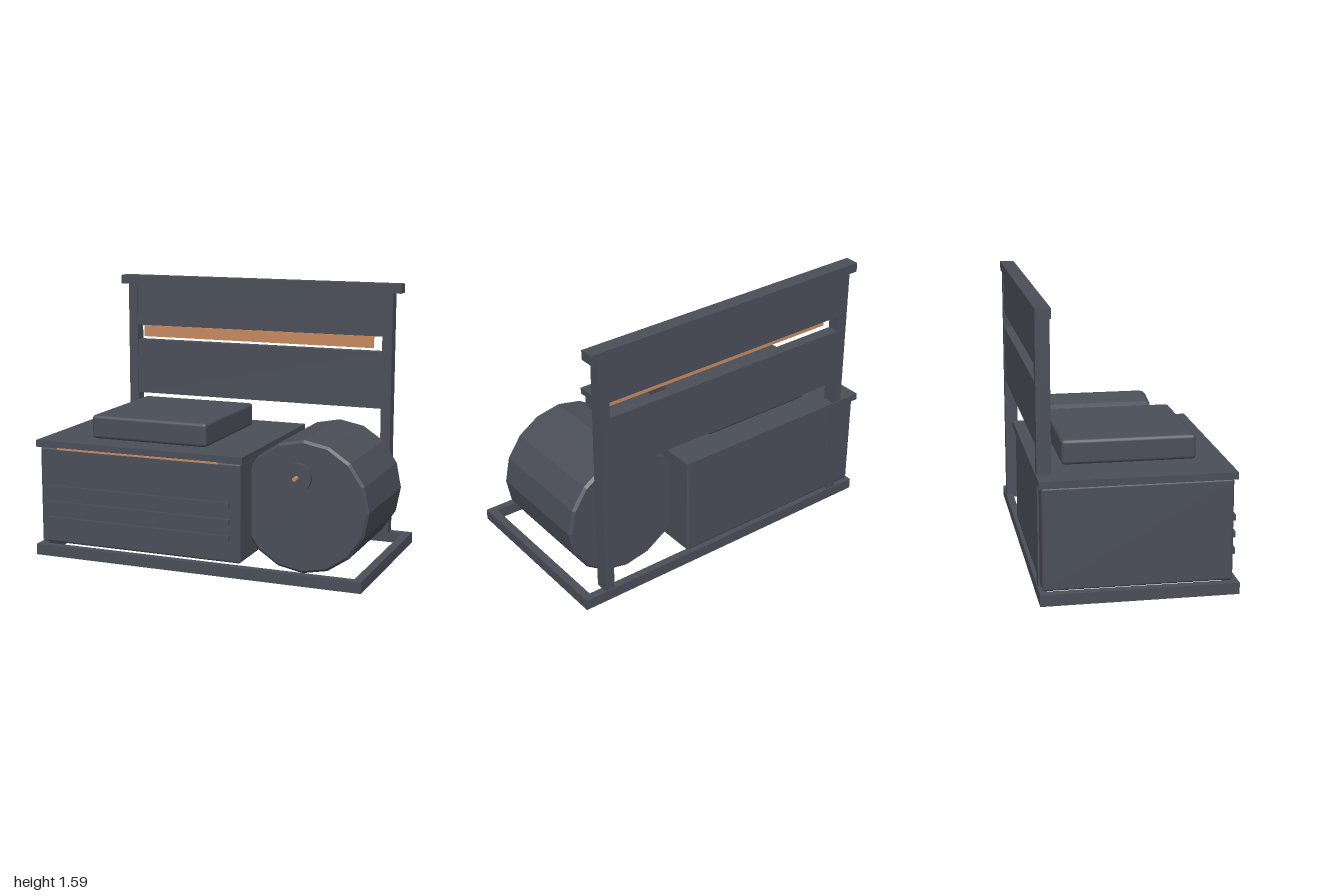
import * as THREE from 'three';
import { RoundedBoxGeometry } from 'three/addons/geometries/RoundedBoxGeometry.js';

const slate = new THREE.MeshStandardMaterial({ name: 'slate', color: 0x4a4e58 });
const copper = new THREE.MeshStandardMaterial({ name: 'copper', color: 0xc88a5e });
const slateFaceted = slate.clone();
slateFaceted.flatShading = true;

export function createModel() {
  const model = new THREE.Group();
  model.name = 'generatorUnit';

  const add = (name, geometry, material, x, y, z) => {
    const mesh = new THREE.Mesh(geometry, material);
    mesh.name = name;
    mesh.position.set(x, y, z);
    model.add(mesh);
    return mesh;
  };
  // Box given by its limits on each axis, optionally with rounded edges
  const box = (name, [x0, x1], [y0, y1], [z0, z1], material = slate, radius = 0) => {
    const size = [x1 - x0, y1 - y0, z1 - z0];
    const geometry = radius
      ? new RoundedBoxGeometry(...size, 2, radius)
      : new THREE.BoxGeometry(...size);
    return add(name, geometry, material, (x0 + x1) / 2, (y0 + y1) / 2, (z0 + z1) / 2);
  };

  // Open base frame
  for (const s of [-1, 1]) {
    box('baseLongRail', [-1, 1], [0, 0.065], s > 0 ? [0.5, 0.545] : [-0.545, -0.5]);
    box('baseEndRail', s > 0 ? [0.95, 1] : [-1, -0.95], [0, 0.065], [-0.5, 0.5]);
  }

  // Cabinet, lid and raised top cover
  box('cabinet', [-0.98, 0.285], [0.075, 0.65], [-0.53, 0.51], slate, 0.015);
  box('cabinetLid', [-1, 0.3], [0.65, 0.69], [-0.545, 0.525]);
  box('topCover', [-0.715, 0.015], [0.69, 0.83], [-0.385, 0.36], slate, 0.02);

  // Front slats and accent strip
  for (const y of [0.22, 0.315, 0.41]) {
    box('ventSlat', [-0.92, 0.225], [y - 0.017, y + 0.017], [0.52, 0.536]);
  }
  box('frontAccent', [-0.855, 0.16], [0.643, 0.653], [0.52, 0.532], copper);

  // Sixteen-sided drum with bevelled rims, lying along z
  const r = 0.385, half = 0.3475, bevel = 0.015;
  const profile = [
    [0, -half], [r - bevel, -half], [r, -half + bevel],
    [r, half - bevel], [r - bevel, half], [0, half],
  ].map(([a, b]) => new THREE.Vector2(a, b));
  add('drum', new THREE.LatheGeometry(profile, 16), slateFaceted, 0.59, 0.39, -0.0125)
    .rotation.x = Math.PI / 2;

  // Stub between cabinet and drum
  add('connector', new THREE.CylinderGeometry(0.04, 0.04, 0.3, 16), slate, 0.275, 0.5, -0.015);

  // Gauge disc with copper pin
  add('gauge', new THREE.CylinderGeometry(0.082, 0.082, 0.026, 24), slate, 0.592, 0.585, 0.433)
    .rotation.x = Math.PI / 2;
  add('gaugePin', new THREE.CylinderGeometry(0.012, 0.012, 0.04, 8), copper, 0.592, 0.585, 0.466)
    .rotation.x = Math.PI / 2;

  // Rear panel stand
  for (const s of [-1, 1]) {
    box('post', s > 0 ? [0.808, 0.868] : [-0.868, -0.808], [0.065, 1.53], [-0.54, -0.462]);
  }
  box('topBar', [-0.918, 0.918], [1.53, 1.585], [-0.545, -0.46]);
  box('upperPanel', [-0.808, 0.808], [1.27, 1.53], [-0.535, -0.467]);
  box('lowerPanel', [-0.808, 0.808], [0.833, 1.175], [-0.535, -0.467]);
  box('copperStrip', [-0.757, 0.757], [1.2, 1.27], [-0.467, -0.452], copper);

  return model;
}
